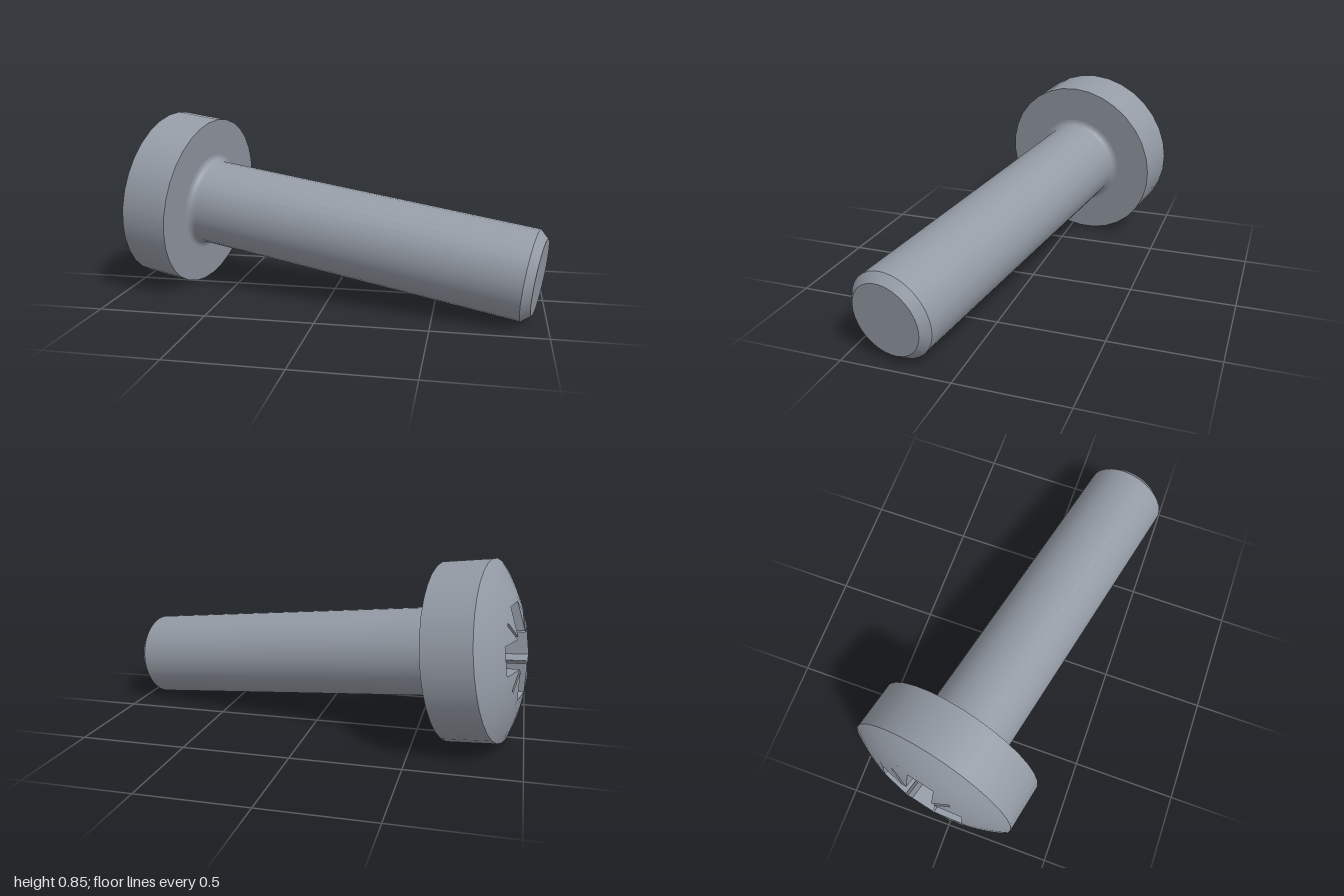
import * as THREE from 'three';

const SIDES = 32;
const HEAD_R = 0.415, HEAD_H = 0.23, DOME_H = 0.11;
const SHANK_R = 0.207, FILLET = 0.03, TIP_R = 0.172;
const SPHERE_R = (HEAD_R ** 2 + DOME_H ** 2) / (2 * DOME_H);
const PATCH_R = 0.245;

// height of the domed top at a distance r from the axis
const domeY = (r) => HEAD_H + DOME_H - SPHERE_R + Math.sqrt(SPHERE_R ** 2 - r * r);

// cross with four arms and a thin radial slit between each pair of arms
function recessOutline() {
  const w = 0.066, L = 0.21, k = 0.011, q = 0.148;
  const quarter = [[L, w], [w + k, w], [q + k / 2, q - k / 2], [q - k / 2, q + k / 2], [w, w + k], [w, L]];
  const points = [];
  for (let i = 0; i < 4; i++) {
    for (const [x, y] of quarter) {
      points.push(new THREE.Vector2(x, y).rotateAround(new THREE.Vector2(), i * Math.PI / 2));
    }
  }
  return points;
}

// top of the dome around the recess, lifted onto the sphere
function domePatch(outline) {
  const circle = [];
  for (let i = 0; i < SIDES; i++) {
    const a = i / SIDES * Math.PI * 2;
    circle.push(new THREE.Vector2(PATCH_R * Math.cos(a), PATCH_R * Math.sin(a)));
  }
  const shape = new THREE.Shape(circle);
  shape.holes.push(new THREE.Path(outline));
  const g = new THREE.ShapeGeometry(shape);
  const p = g.attributes.position, n = g.attributes.normal;
  const centreY = HEAD_H + DOME_H - SPHERE_R;
  for (let i = 0; i < p.count; i++) {
    const x = p.getX(i), y = p.getY(i), z = domeY(Math.hypot(x, y));
    p.setZ(i, z);
    n.setXYZ(i, x / SPHERE_R, y / SPHERE_R, (z - centreY) / SPHERE_R);
  }
  return g.rotateX(-Math.PI / 2);
}

// side walls of the recess, narrowing towards the floor
function recessWalls(outline, floor, floorY) {
  const v = [];
  const top = (p) => [p.x, p.y, domeY(p.length())];
  const low = (p) => [p.x, p.y, floorY];
  outline.forEach((p, i) => {
    const j = (i + 1) % outline.length;
    const q = outline[j], p2 = floor[i], q2 = floor[j];
    v.push(...top(p), ...top(q), ...low(p2), ...top(q), ...low(q2), ...low(p2));
  });
  const g = new THREE.BufferGeometry();
  g.setAttribute('position', new THREE.Float32BufferAttribute(v, 3));
  g.computeVertexNormals();
  return g.rotateX(-Math.PI / 2);
}

export function createModel() {
  const steel = new THREE.MeshStandardMaterial({ color: 0x949ba5 });
  steel.name = 'steel grey';
  const screw = new THREE.Group();
  screw.name = 'screw';

  const add = (name, geometry) => {
    const mesh = new THREE.Mesh(geometry, steel);
    mesh.name = name;
    screw.add(mesh);
  };
  const turned = (name, points) =>
    add(name, new THREE.LatheGeometry(points.map(([r, y]) => new THREE.Vector2(r, y)), SIDES));

  // shank with chamfered tip and a fillet under the head
  const tipY = -1.655, chamferY = -1.617;
  turned('tipFace', [[0, tipY], [TIP_R, tipY]]);
  turned('tipChamfer', [[TIP_R, tipY], [SHANK_R, chamferY]]);
  const shank = [[SHANK_R, chamferY], [SHANK_R, -FILLET - 0.01]];
  for (let i = 0; i <= 5; i++) {
    const a = Math.PI - i / 5 * Math.PI / 2;
    shank.push([SHANK_R + FILLET + FILLET * Math.cos(a), -FILLET + FILLET * Math.sin(a)]);
  }
  turned('shank', shank);

  // head
  turned('headUnderside', [[SHANK_R + FILLET, 0], [HEAD_R, 0]]);
  turned('headRim', [[HEAD_R, 0], [HEAD_R, HEAD_H]]);
  const dome = [];
  for (let i = 0; i <= 8; i++) {
    const r = HEAD_R + (PATCH_R - HEAD_R) * i / 8;
    dome.push([r, domeY(r)]);
  }
  turned('headDome', dome);

  // driver recess
  const outline = recessOutline();
  const floor = outline.map((p) => p.clone().multiplyScalar(0.82));
  const floorY = 0.14;
  add('domeCentre', domePatch(outline));
  add('recessWalls', recessWalls(outline, floor, floorY));
  add('recessFloor', new THREE.ShapeGeometry(new THREE.Shape(floor)).rotateX(-Math.PI / 2).translate(0, floorY, 0));

  // tilt the screw so that its head points back, left and slightly up
  const up = new THREE.Vector3(-1, 0.13, -0.215).normalize();
  const side = new THREE.Vector3(0, 1, 0).addScaledVector(up, -up.y).normalize();
  const third = new THREE.Vector3().crossVectors(side, up);
  screw.quaternion.setFromRotationMatrix(new THREE.Matrix4().makeBasis(side, up, third));
  screw.position.set(-0.645, 0.412, -0.045);

  const model = new THREE.Group();
  model.name = 'model';
  model.add(screw);
  return model;
}
